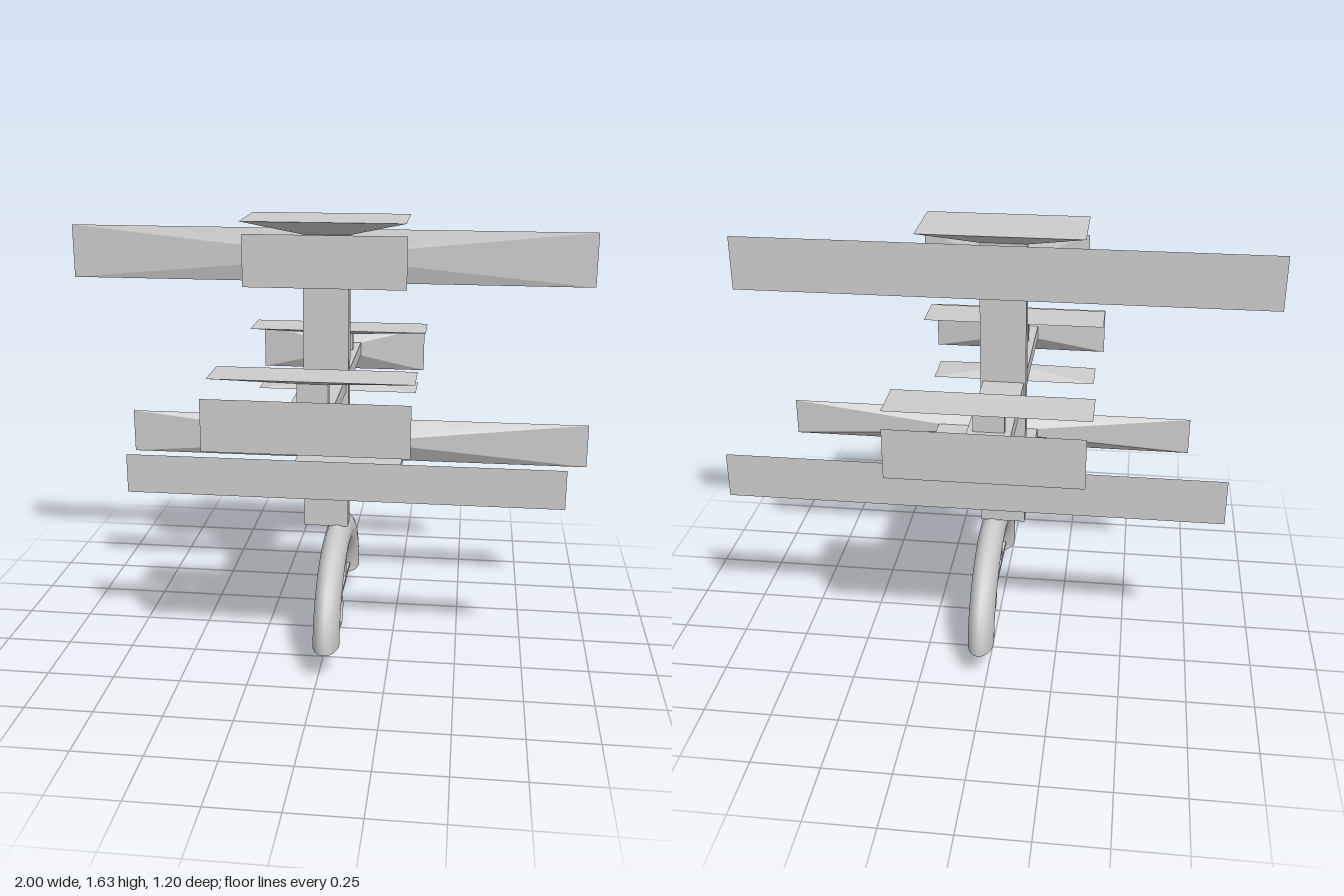
import * as THREE from 'three';

const material = new THREE.MeshStandardMaterial({ color: 0xcccccc, side: THREE.DoubleSide });
const flatMaterial = new THREE.MeshStandardMaterial({ color: 0xcccccc, flatShading: true });

// Tapered block: a and b are [x0, x1, y0, y1, z0, z1] with zero thickness along the axis
function taper(name, axis, a, b) {
  const geo = new THREE.BoxGeometry(1, 1, 1);
  const p = geo.attributes.position;
  const [low, high] = a[axis * 2] < b[axis * 2] ? [a, b] : [b, a];
  for (let i = 0; i < p.count; i++) {
    const r = p.getComponent(i, axis) > 0 ? high : low;
    for (let k = 0; k < 3; k++) {
      p.setComponent(i, k, r[k * 2 + (p.getComponent(i, k) > 0 ? 1 : 0)]);
    }
  }
  geo.computeVertexNormals();
  const mesh = new THREE.Mesh(geo, flatMaterial);
  mesh.name = name;
  return mesh;
}

function block(name, x0, x1, y0, y1, z0, z1) {
  const mesh = new THREE.Mesh(new THREE.BoxGeometry(x1 - x0, y1 - y0, z1 - z0), flatMaterial);
  mesh.position.set((x0 + x1) / 2, (y0 + y1) / 2, (z0 + z1) / 2);
  mesh.name = name;
  return mesh;
}

// Beam along z with a flared plate on each end; a plate is [x0, x1, y0, y1, z]
function crossBeam(name, [x0, x1, y0, y1, z0, z1], front, back) {
  const g = new THREE.Group();
  g.name = name;
  g.add(block('beam', x0, x1, y0, y1, z0, z1));
  for (const [label, z, q] of [['frontFlare', z1, front], ['backFlare', z0, back]]) {
    g.add(taper(label, 2, [x0, x1, y0, y1, z, z], [q[0], q[1], q[2], q[3], q[4], q[4]]));
  }
  return g;
}

// Short upright with a flared plate at the top and bottom
function smallUpright(name, z, y0, y1) {
  const g = new THREE.Group();
  g.name = name;
  const s = [-0.07, 0.04], w = 0.016;
  g.add(block('stem', ...s, y0 + 0.033, y1 - 0.027, z - w, z + w));
  g.add(taper('topFlare', 1, [...s, y1 - 0.027, y1 - 0.027, z - w, z + w],
    [-0.37, 0.34, y1, y1, z - 0.09, z + 0.09]));
  g.add(taper('bottomFlare', 1, [...s, y0 + 0.033, y0 + 0.033, z - w, z + w],
    [-0.34, 0.305, y0, y0, z - 0.081, z + 0.081]));
  return g;
}

export function createModel() {
  const model = new THREE.Group();

  // Main post and its cap
  model.add(block('post', -0.1, 0.07, 0.45, 1.578, -0.03, 0.03));
  model.add(taper('topCap', 1, [-0.1, 0.07, 1.577, 1.577, -0.03, 0.03],
    [-0.312, 0.283, 1.635, 1.635, -0.143, 0.143]));

  // Three flared cross beams
  model.add(crossBeam('upperBeam', [-0.1, 0.07, 1.471, 1.497, -0.06, 0.063],
    [-0.315, 0.285, 1.39, 1.583, 0.086], [-1, 0.968, 1.385, 1.585, -0.083]));
  model.add(crossBeam('middleBeam', [-0.093, 0.06, 0.99, 1.045, -0.565, 0.555],
    [-0.368, 0.335, 0.925, 1.108, 0.6], [-0.355, 0.325, 0.925, 1.108, -0.6]));
  model.add(crossBeam('lowerBeam', [-0.125, 0.275, 0.7, 0.735, -0.228, 0.22],
    [-0.73, 0.875, 0.643, 0.79, 0.26], [-0.85, 0.995, 0.63, 0.803, -0.267]));

  // Small uprights near the ends of the middle beam
  model.add(smallUpright('frontUpright', 0.397, 0.9, 1.147));
  model.add(smallUpright('backUpright', -0.44, 0.89, 1.14));

  // Arch: flattened half ring, open at its feet
  const arch = new THREE.Mesh(new THREE.TorusGeometry(0.376, 0.092, 16, 40, Math.PI), material);
  arch.name = 'arch';
  arch.rotation.y = Math.PI / 2;
  arch.scale.set(1, 0.73, 0.54);
  arch.position.set(0.027, 0.115, -0.004);
  model.add(arch);

  // Lattice inside the arch
  const lattice = new THREE.Group();
  lattice.name = 'lattice';
  const lx = [0.008, 0.046];
  lattice.add(block('lowerRail', ...lx, 0.144, 0.161, -0.288, 0.28));
  lattice.add(block('upperRail', ...lx, 0.264, 0.28, -0.162, 0.158));
  for (const [z, top] of [[0.143, 0.27], [-0.007, 0.34], [-0.152, 0.27]]) {
    lattice.add(block('bar', ...lx, 0.15, top, z - 0.006, z + 0.006));
  }
  model.add(lattice);

  // Hanging ring
  const ring = new THREE.Mesh(new THREE.TorusGeometry(0.057, 0.013, 12, 36), material);
  ring.name = 'ring';
  ring.rotation.y = Math.PI / 2;
  ring.position.set(0.03, 0.07, -0.01);
  model.add(ring);

  return model;
}
